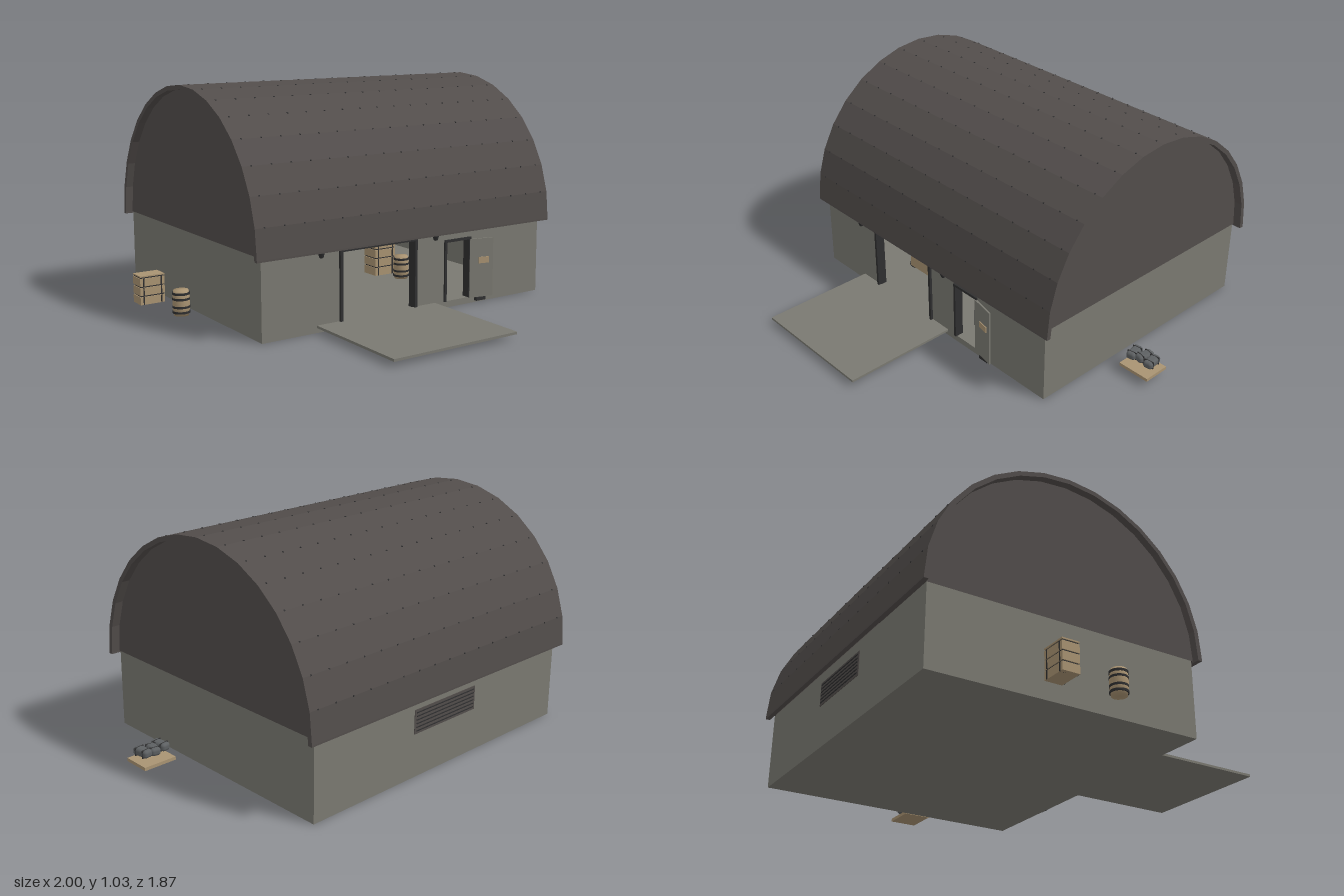
import * as THREE from 'three';
import { mergeGeometries } from 'three/addons/utils/BufferGeometryUtils.js';
import { RoundedBoxGeometry } from 'three/addons/geometries/RoundedBoxGeometry.js';

const material = (name, color) => {
  const m = new THREE.MeshStandardMaterial({ color });
  m.name = name;
  return m;
};

export function createModel() {
  const model = new THREE.Group();
  const wall = material('concrete', 0x7a7971);
  const roofing = material('roof metal', 0x524d4b);
  const dark = material('dark steel', 0x2f2f30);
  const wood = material('wood', 0xa99372);
  const grey = material('grey cloth', 0x5d6062);

  const add = (parent, name, geometry, mat, x = 0, y = 0, z = 0) => {
    const mesh = new THREE.Mesh(geometry, mat);
    mesh.name = name;
    mesh.position.set(x, y, z);
    parent.add(mesh);
    return mesh;
  };
  // Box given by its limits along each axis
  const box = (parent, name, mat, x0, x1, y0, y1, z0, z1) =>
    add(parent, name, new THREE.BoxGeometry(x1 - x0, y1 - y0, z1 - z0), mat,
      (x0 + x1) / 2, (y0 + y1) / 2, (z0 + z1) / 2);
  const group = (name, x = 0, y = 0, z = 0) => {
    const g = new THREE.Group();
    g.name = name;
    g.position.set(x, y, z);
    model.add(g);
    return g;
  };

  const L = -0.79, R = 0.75, F = 0.38, B = -0.905, H = 0.36, T = 0.03;
  const CZ = -0.262, RO = 0.673, RI = 0.652, SEG = 16;

  // Floor and walls
  box(model, 'floor', wall, L, R, 0, T, B, F);
  box(model, 'backWall', wall, L, R, T, H, B, B + T);
  box(model, 'leftWall', wall, R - T, R, T, H, B + T, F - T);
  box(model, 'rightWall', wall, L, L + T, T, H, B + T, F - T);
  const front = new THREE.Shape([[L, T], [-0.405, T], [-0.405, 0.352], [0.01, 0.352], [0.01, T],
    [0.175, T], [0.175, 0.315], [0.325, 0.315], [0.325, T], [R, T], [R, H], [L, H]]
    .map(([x, y]) => new THREE.Vector2(x, y)));
  add(model, 'frontWall', new THREE.ExtrudeGeometry(front, { depth: T, bevelEnabled: false }), wall, 0, 0, F - T);

  // Half-round roof shell and the gable ends
  const arc = (r) => Array.from({ length: SEG + 1 }, (_, i) => {
    const a = (i / SEG) * Math.PI;
    return new THREE.Vector2(r * Math.cos(a), r * Math.sin(a));
  });
  const alongX = (points, depth) => new THREE.ExtrudeGeometry(new THREE.Shape(points),
    { depth, bevelEnabled: false }).rotateY(Math.PI / 2);
  add(model, 'roof', alongX([...arc(RO), ...arc(RI).reverse()], 1.615), roofing, -0.825, H, CZ);
  for (const x of [L, R - 0.02]) add(model, 'gable', alongX(arc(RI), 0.02), roofing, x, H, CZ);
  for (const s of [-1, 1]) {
    box(model, 'roofEdge', roofing, -0.825, 0.79, 0.352, H,
      CZ + s * 0.6625 - 0.0105, CZ + s * 0.6625 + 0.0105);
  }

  // Rivet rows along the roof seams
  const rivets = [];
  for (let i = 1; i < SEG; i++) {
    const a = (i / SEG) * Math.PI;
    for (let k = 0; k < 17; k++) {
      rivets.push(new THREE.BoxGeometry(0.006, 0.006, 0.004).rotateX(-a)
        .translate(-0.78 + k * 0.0955, H + RO * Math.sin(a), CZ + RO * Math.cos(a)));
    }
  }
  add(model, 'rivets', mergeGeometries(rivets), dark);

  // Loading platform and main door frame
  box(model, 'platform', wall, -0.52, 0.12, 0.022, 0.033, F, 0.935);
  for (const x of [-0.405, -0.003]) box(model, 'doorPost', dark, x, x + 0.013, T, 0.352, F - 0.035, F + 0.012);
  box(model, 'doorLintel', dark, -0.405, 0.01, 0.34, 0.352, F - 0.035, F + 0.012);

  // Side door: frame, leaf standing open, notice and step
  for (const x of [0.172, 0.316]) box(model, 'sideDoorPost', dark, x, x + 0.012, T, 0.32, F - 0.035, F + 0.008);
  box(model, 'sideDoorLintel', dark, 0.172, 0.328, 0.308, 0.32, F - 0.035, F + 0.008);
  const door = group('sideDoor', 0.32, 0, 0.385);
  door.rotation.y = -0.2;
  box(door, 'doorLeaf', wall, 0, 0.123, 0.028, 0.308, -0.003, 0.005);
  box(door, 'doorNotice', wood, 0.045, 0.1, 0.19, 0.22, 0.005, 0.009);
  box(model, 'step', dark, 0.355, 0.41, 0.01, 0.026, F, F + 0.02);

  // Lamps under the eaves
  for (const x of [-0.505, 0.11]) {
    add(model, 'lamp', new THREE.CylinderGeometry(0.015, 0.009, 0.02, 10), dark, x, 0.34, 0.395);
  }

  // Louvred vent through the back wall
  box(model, 'vent', roofing, -0.215, 0.175, 0.2, 0.31, B - 0.003, B + T + 0.003);
  for (let i = 0; i < 6; i++) {
    const y = 0.212 + i * 0.0165;
    box(model, 'ventSlat', dark, -0.205, 0.165, y, y + 0.004, B - 0.006, B - 0.003);
  }

  // Reusable goods
  const crateStack = (name, x, z, w, d, rows, y = T, h = 0.043) => {
    const g = group(name, x, y, z);
    for (let i = 0; i < rows; i++) {
      box(g, 'crate', wood, -w / 2, w / 2, i * h, i * h + h - 0.006, -d / 2, d / 2);
      box(g, 'crateGap', dark, -w / 2 + 0.004, w / 2 - 0.004, i * h + h - 0.006, (i + 1) * h, -d / 2 + 0.004, d / 2 - 0.004);
      for (const s of [-0.36, 0.36]) {
        box(g, 'crateStrap', dark, s * w - 0.003, s * w + 0.003, i * h, i * h + h - 0.006, -d / 2 - 0.002, d / 2 + 0.002);
      }
    }
    box(g, 'crateLid', wood, -w / 2, w / 2, rows * h, rows * h + 0.006, -d / 2, d / 2);
  };
  const barrel = (x, z) => {
    const g = group('barrel', x, T, z);
    const profile = [[0, 0], [0.033, 0], [0.038, 0.03], [0.039, 0.058], [0.038, 0.086], [0.033, 0.115], [0, 0.115]]
      .map(([r, y]) => new THREE.Vector2(r, y));
    add(g, 'barrelBody', new THREE.LatheGeometry(profile, 16), wood);
    for (const y of [0.016, 0.04, 0.076, 0.1]) {
      add(g, 'barrelHoop', new THREE.CylinderGeometry(0.0395, 0.0395, 0.01, 16), dark, 0, y, 0);
    }
  };
  const sack = (x, y, z, turn) => {
    const g = group('sack', x, y, z);
    g.rotation.y = turn;
    add(g, 'sackBody', new RoundedBoxGeometry(0.046, 0.036, 0.085, 3, 0.014), grey);
    for (const s of [-1, 1]) {
      add(g, 'sackTie', new RoundedBoxGeometry(0.048, 0.038, 0.006, 2, 0.003), dark, 0, 0, s * 0.022);
    }
  };

  // Goods outside
  crateStack('outdoorCrates', -0.94, -0.4, 0.12, 0.08, 3);
  barrel(-0.915, -0.115);
  box(model, 'pallet', wood, 0.84, 1, T, 0.045, -0.14, -0.01);
  sack(0.871, 0.087, -0.073, 0.15);
  sack(0.919, 0.087, -0.085, -0.2);
  sack(0.966, 0.087, -0.078, 0.12);

  // Goods inside: crates and barrel by the side door
  crateStack('indoorCrates', 0.26, -0.25, 0.12, 0.1, 4, T, 0.046);
  barrel(0.285, -0.1);

  // Storage rack along the back
  for (const x of [-0.42, -0.15, 0.12]) {
    for (const z of [-0.83, -0.72]) box(model, 'rackPost', dark, x - 0.005, x + 0.005, T, 0.315, z - 0.005, z + 0.005);
  }
  for (const y of [0.04, 0.165, 0.305]) box(model, 'rackShelf', dark, -0.425, 0.125, y, y + 0.01, -0.835, -0.715);
  for (let i = 0; i < 8; i++) sack(-0.375 + i * 0.056, 0.07, -0.77, (i % 3 - 1) * 0.1);
  [-0.36, -0.29, -0.225, -0.16, -0.09, -0.03].forEach((x, i) => {
    box(model, 'rackBox', i < 3 ? wood : grey, x - 0.024, x + 0.024, 0.175, i < 3 ? 0.215 : 0.2, -0.8, -0.74);
  });

  // Forklift behind the main door
  const lift = group('forklift', -0.33, 0, 0.09);
  box(lift, 'liftBody', wood, -0.068, 0.068, 0.055, 0.135, -0.09, 0.09);
  box(lift, 'liftSeat', dark, -0.03, 0.03, 0.135, 0.165, -0.03, 0.03);
  for (const s of [-1, 1]) {
    for (const z of [-0.06, 0.06]) {
      add(lift, 'liftWheel', new THREE.CylinderGeometry(0.028, 0.028, 0.02, 14).rotateZ(Math.PI / 2), dark, s * 0.068, 0.058, z);
    }
    box(lift, 'mastPost', dark, s * 0.058 - 0.006, s * 0.058 + 0.006, 0.035, 0.33, -0.11, -0.095);
    box(lift, 'liftFork', dark, s * 0.035 - 0.008, s * 0.035 + 0.008, 0.04, 0.048, -0.2, -0.1);
  }
  box(lift, 'mastTop', wood, -0.066, 0.066, 0.325, 0.337, -0.112, -0.02);

  return model;
}
